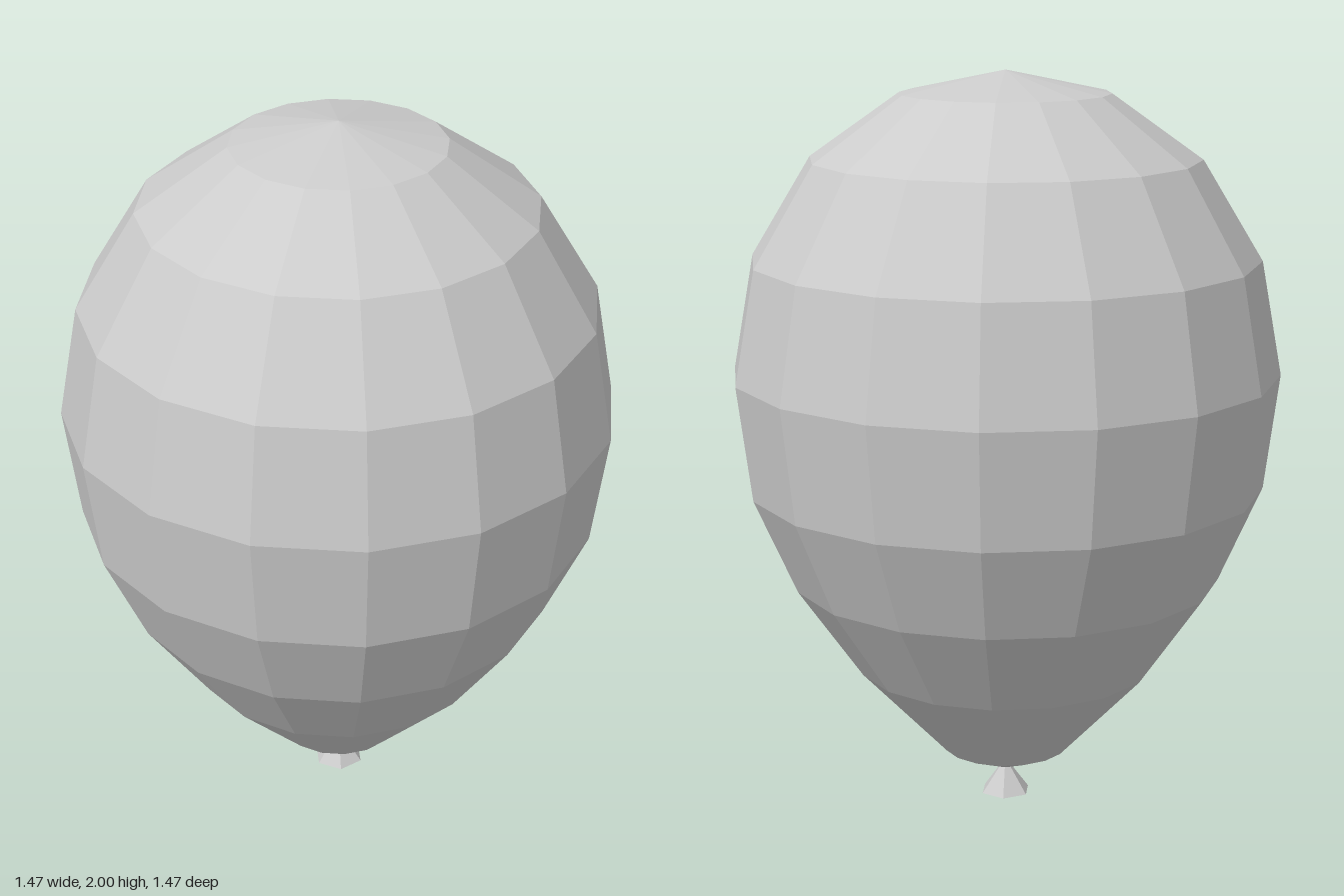
import * as THREE from 'three';

export function createModel() {
  const group = new THREE.Group();
  group.name = 'balloon';
  const material = new THREE.MeshStandardMaterial({ color: 0xcccccc, flatShading: true });

  // Faceted envelope: profile from the bottom pole to the crown
  const profile = [
    [0, 0.065], [0.17, 0.135], [0.405, 0.38], [0.58, 0.63], [0.695, 0.89],
    [0.735, 1.2], [0.68, 1.505], [0.52, 1.77], [0.28, 1.94], [0, 2],
  ].map(([r, y]) => new THREE.Vector2(r, y));
  const envelope = new THREE.Mesh(new THREE.LatheGeometry(profile, 16), material);
  envelope.name = 'envelope';
  group.add(envelope);

  // Six-sided flared knot, its tip tucked into the envelope
  const knot = new THREE.Mesh(new THREE.ConeGeometry(0.07, 0.095, 6), material);
  knot.name = 'knot';
  knot.position.y = 0.0475;
  group.add(knot);

  return group;
}
